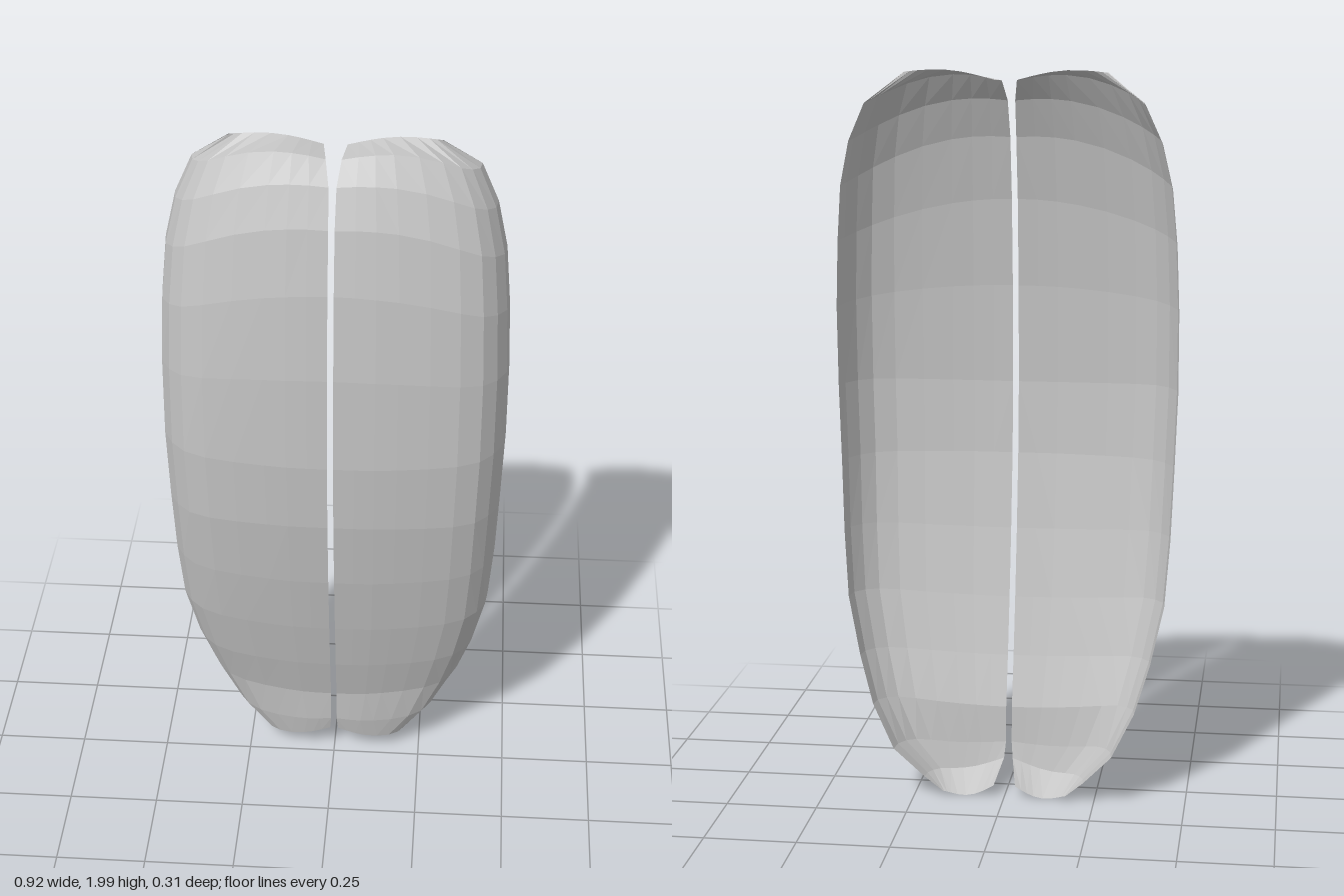
import * as THREE from 'three';

// Cross-section from the centre seam (0) to the outer rim (1): [across, height of bulge]
const PROFILE = [
  [0, 1], [0.12, 1], [0.24, 0.995], [0.37, 0.97], [0.55, 0.925], [0.72, 0.86],
  [0.85, 0.74], [0.93, 0.55], [0.985, 0.3], [1, 0],
];

// Sections from top to bottom: seam x, seam y, seam z, rim x, rim y, rim z, y bow
const SECTIONS = [
  [0.03, 1.97, -0.065, 0.27, 1.99, -0.065, 0.02],
  [0.02, 1.965, 0.01, 0.37, 1.91, -0.105, 0.025],
  [0.01, 1.91, 0.055, 0.415, 1.81, -0.095, 0.015],
  [0.008, 1.81, 0.095, 0.442, 1.69, -0.078, 0.01],
  [0.008, 1.64, 0.128, 0.455, 1.54, -0.06, 0],
  [0.008, 1.4, 0.149, 0.462, 1.36, -0.052, 0],
  [0.008, 1.13, 0.156, 0.462, 1.14, -0.04, 0],
  [0.008, 0.93, 0.144, 0.455, 0.93, -0.045, 0],
  [0.008, 0.72, 0.114, 0.448, 0.74, -0.06, 0],
  [0.008, 0.53, 0.078, 0.435, 0.56, -0.08, 0],
  [0.008, 0.37, 0.042, 0.4, 0.4, -0.105, 0],
  [0.008, 0.23, 0.005, 0.36, 0.27, -0.135, 0],
  [0.008, 0.13, 0.0, 0.3, 0.15, -0.155, -0.01],
  [0.012, 0.085, -0.01, 0.22, 0.06, -0.12, -0.025],
  [0.03, 0.035, -0.1, 0.17, 0.016, -0.11, -0.026],
];

// One thin curved shell; side is +1 for the left half, -1 for the right
function shellGeometry(side) {
  const positions = [];
  const index = [];
  const n = PROFILE.length;
  for (const [x0, y0, z0, x1, y1, z1, bow] of SECTIONS) {
    for (const [t, f] of PROFILE) {
      positions.push(
        side * (x0 + (x1 - x0) * t),
        y0 + (y1 - y0) * t * t + bow * Math.sin(Math.PI * t),
        z1 + (z0 - z1) * f,
      );
    }
  }
  for (let i = 0; i < SECTIONS.length - 1; i++) {
    for (let j = 0; j < n - 1; j++) {
      const a = i * n + j, b = a + n, c = b + 1, d = a + 1;
      if (side > 0) index.push(a, b, c, a, c, d);
      else index.push(a, c, b, a, d, c);
    }
  }
  const geometry = new THREE.BufferGeometry();
  geometry.setAttribute('position', new THREE.Float32BufferAttribute(positions, 3));
  geometry.setIndex(index);
  geometry.computeVertexNormals();
  return geometry;
}

export function createModel() {
  const group = new THREE.Group();
  group.name = 'pairedShells';
  const grey = new THREE.MeshStandardMaterial({
    name: 'shell grey', color: 0xc4c4c4, flatShading: true, side: THREE.DoubleSide,
  });
  for (const side of [1, -1]) {
    const shell = new THREE.Mesh(shellGeometry(side), grey);
    shell.name = side > 0 ? 'leftShell' : 'rightShell';
    group.add(shell);
  }
  return group;
}
